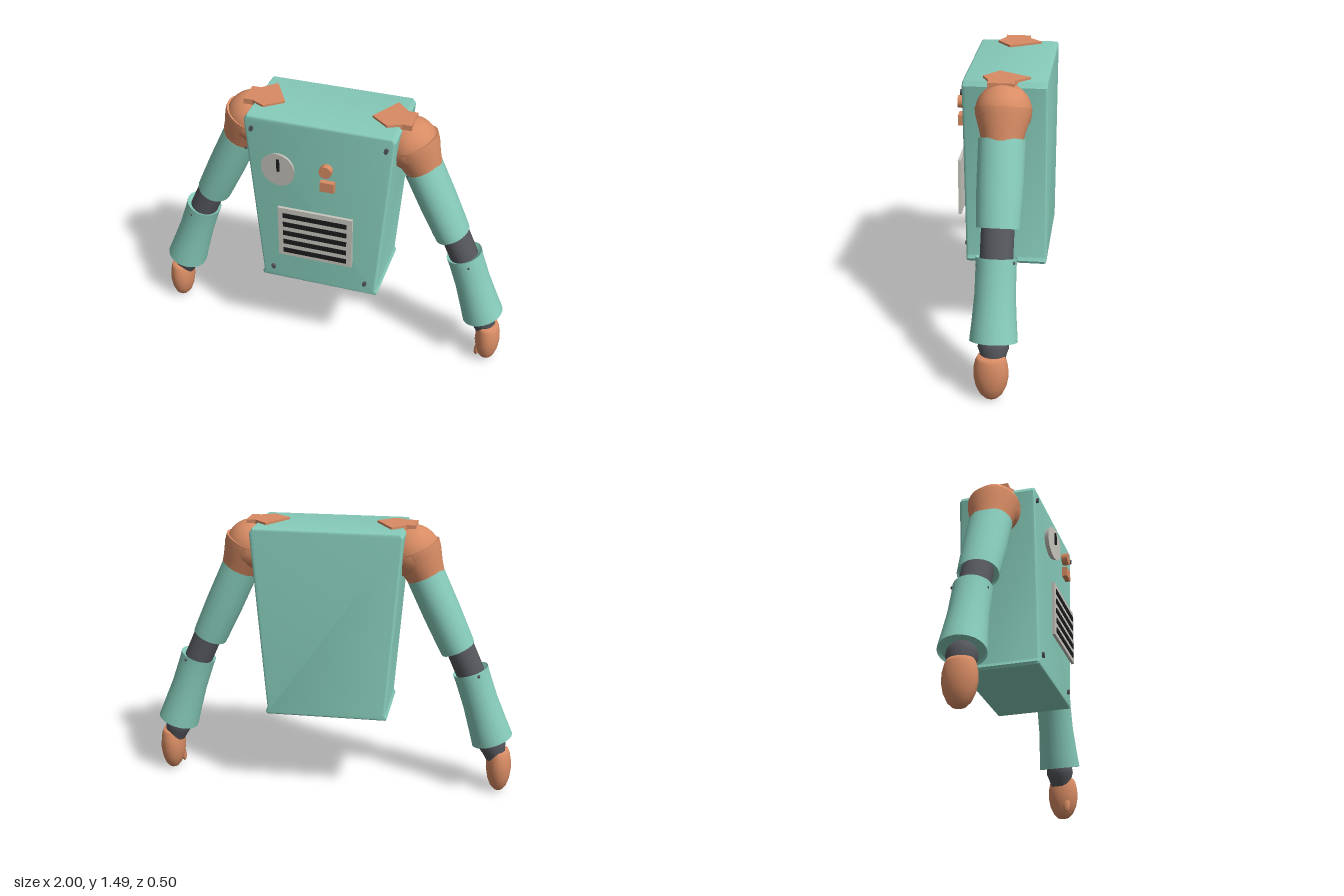
import * as THREE from 'three';
import { toCreasedNormals } from 'three/addons/utils/BufferGeometryUtils.js';

const paint = (name, color) => {
  const m = new THREE.MeshStandardMaterial({ color });
  m.name = name;
  return m;
};

export function createModel() {
  const teal = paint('teal', 0x86cbba);
  const copper = paint('copper', 0xd88c64);
  const dark = paint('darkGrey', 0x55575c);
  const pale = paint('paleGrey', 0xc8c6be);
  const black = paint('black', 0x1c1c1e);

  const model = new THREE.Group();
  const ARM_Z = -0.035;

  const add = (name, geometry, material, x, y, z, parent = model) => {
    const mesh = new THREE.Mesh(geometry, material);
    mesh.name = name;
    mesh.position.set(x, y, z);
    parent.add(mesh);
    return mesh;
  };
  const polygon = (pts) => new THREE.Shape(pts.map(([x, y]) => new THREE.Vector2(x, y)));

  // Tapered chest box with small bevels and a slight lip at the bottom
  const half = [[0.325, 0.455], [0.332, 0.47], [0.322, 0.49], [0.402, 1.455], [0.385, 1.48]];
  const outline = [...half, ...half.map(([x, y]) => [-x, y]).reverse()];
  const bevel = 0.014;
  const chest = new THREE.ExtrudeGeometry(polygon(outline), {
    depth: 0.43 - 2 * bevel, bevelSize: bevel, bevelThickness: bevel, bevelOffset: -bevel, bevelSegments: 3,
  });
  add('chest', toCreasedNormals(chest, 0.6), teal, 0, 0, -0.25 + bevel);

  // Corner screws
  for (const s of [-1, 1]) {
    for (const [x, y] of [[0.358, 1.41], [0.262, 0.53]]) {
      const screw = add('screw', new THREE.CylinderGeometry(0.016, 0.016, 0.016, 10).rotateX(Math.PI / 2).scale(0.7, 1, 1),
        dark, s * x, y, 0.184);
      screw.rotation.z = y > 1 ? -0.3 : -s * 0.5;
    }
  }

  // Gauge with its needle, turned slightly aside
  const gauge = new THREE.Group();
  gauge.name = 'gauge';
  gauge.position.set(-0.2, 1.22, 0.225);
  gauge.rotation.y = -0.1;
  model.add(gauge);
  add('dial', new THREE.CylinderGeometry(0.095, 0.085, 0.026, 32).rotateX(Math.PI / 2), pale, 0, 0, 0, gauge);
  add('needle', new THREE.BoxGeometry(0.014, 0.07, 0.009), black, 0.005, 0.03, 0.017, gauge);

  // Round and square buttons
  add('roundButton', new THREE.CylinderGeometry(0.034, 0.034, 0.034, 20).rotateX(Math.PI / 2), copper, 0.058, 1.26, 0.233);
  add('squareButton', new THREE.BoxGeometry(0.076, 0.056, 0.028), copper, 0.067, 1.168, 0.233);

  // Vent plate with five slots
  add('ventPlate', new THREE.BoxGeometry(0.41, 0.31, 0.016), pale, -0.003, 0.824, 0.228);
  for (let i = 0; i < 5; i++) {
    add('ventSlot', new THREE.BoxGeometry(0.352, 0.028, 0.008), black, -0.004, 0.934 - i * 0.057, 0.2365);
  }

  // Limb segment: a lathe from bottom to top, profile [radius, fraction of length], widened in z
  const limb = (parent, name, material, s, bottom, top, profile, zScale) => {
    const dx = top[0] - bottom[0], dy = top[1] - bottom[1];
    const len = Math.hypot(dx, dy);
    const pts = profile.map(([r, t]) => new THREE.Vector2(r, t * len));
    const geo = toCreasedNormals(new THREE.LatheGeometry(pts, 24).scale(1, 1, zScale), 0.7);
    const mesh = add(name, geo, material, s * bottom[0], bottom[1], ARM_Z, parent);
    mesh.rotation.z = Math.atan2(-s * dx, dy);
    return mesh;
  };

  for (const s of [-1, 1]) {
    const arm = new THREE.Group();
    arm.name = s > 0 ? 'leftArm' : 'rightArm';
    model.add(arm);

    // Shoulder ball, its lower taper and the pointed tab over the chest top
    add('shoulder', new THREE.SphereGeometry(0.142, 24, 16), copper, s * 0.432, 1.343, ARM_Z, arm);
    limb(arm, 'shoulderTaper', copper, s, [0.515, 1.19], [0.44, 1.36],
      [[0, 0], [0.096, 0], [0.112, 0.4], [0.134, 0.8], [0.139, 1], [0, 1]], 1.04);
    const tab = [[0.235, 0.005], [0.33, -0.16], [0.40, -0.09], [0.45, -0.09], [0.45, 0.045], [0.40, 0.045], [0.33, 0.08]];
    const tabGeo = new THREE.ExtrudeGeometry(polygon(tab.map(([x, z]) => [s * x, -z])), { depth: 0.03, bevelEnabled: false });
    add('shoulderTab', tabGeo.rotateX(-Math.PI / 2), copper, 0, 1.462, 0, arm);

    // Upper sleeve, elbow, flared lower sleeve and wrist
    limb(arm, 'upperSleeve', teal, s, [0.685, 0.82], [0.5, 1.22],
      [[0, 0.06], [0.088, 0.03], [0.094, 0], [0.096, 0.1], [0.101, 0.5], [0.102, 1], [0.094, 0.98], [0, 0.96]], 1.17);
    limb(arm, 'elbow', dark, s, [0.76, 0.68], [0.68, 0.86],
      [[0, 0], [0.077, 0], [0.077, 1], [0, 1]], 1.08);
    limb(arm, 'lowerSleeve', teal, s, [0.89, 0.305], [0.757, 0.70],
      [[0, 0.08], [0.105, 0.03], [0.114, 0], [0.107, 0.2], [0.097, 0.55], [0.096, 0.9], [0.098, 1], [0.09, 0.98], [0, 0.94]], 1.06);
    limb(arm, 'wrist', dark, s, [0.915, 0.2], [0.865, 0.36],
      [[0, 0], [0.055, 0], [0.064, 0.25], [0.075, 0.45], [0.072, 0.65], [0.04, 1], [0, 1]], 1.05);

    // Small rivets at the sleeve ends
    for (const [x, y, z] of [[0.80, 0.672, 0.055], [0.805, 0.695, -0.125], [0.64, 0.86, 0.055], [0.445, 1.195, 0.055]]) {
      add('rivet', new THREE.SphereGeometry(0.009, 8, 6), dark, s * x, y, z, arm);
    }

    // Mitten hand, fuller at the wrist and narrowing to the fingertips
    const hand = new THREE.LatheGeometry(
      [[0, 0], [0.026, 0.006], [0.045, 0.03], [0.061, 0.075], [0.069, 0.13], [0.067, 0.18], [0.06, 0.22], [0.052, 0.24], [0, 0.245]]
        .map(([r, y]) => new THREE.Vector2(r, y)), 24).scale(1, 1, 1.28);
    add('hand', hand, copper, s * 0.935, 0.003, -0.027, arm).rotation.z = s * 0.02;
  }

  // Thumb on the left hand
  const thumb = add('thumb', new THREE.SphereGeometry(1, 12, 10).scale(0.017, 0.05, 0.022), copper, 0.887, 0.075, 0.005);
  thumb.rotation.z = -0.15;

  return model;
}
